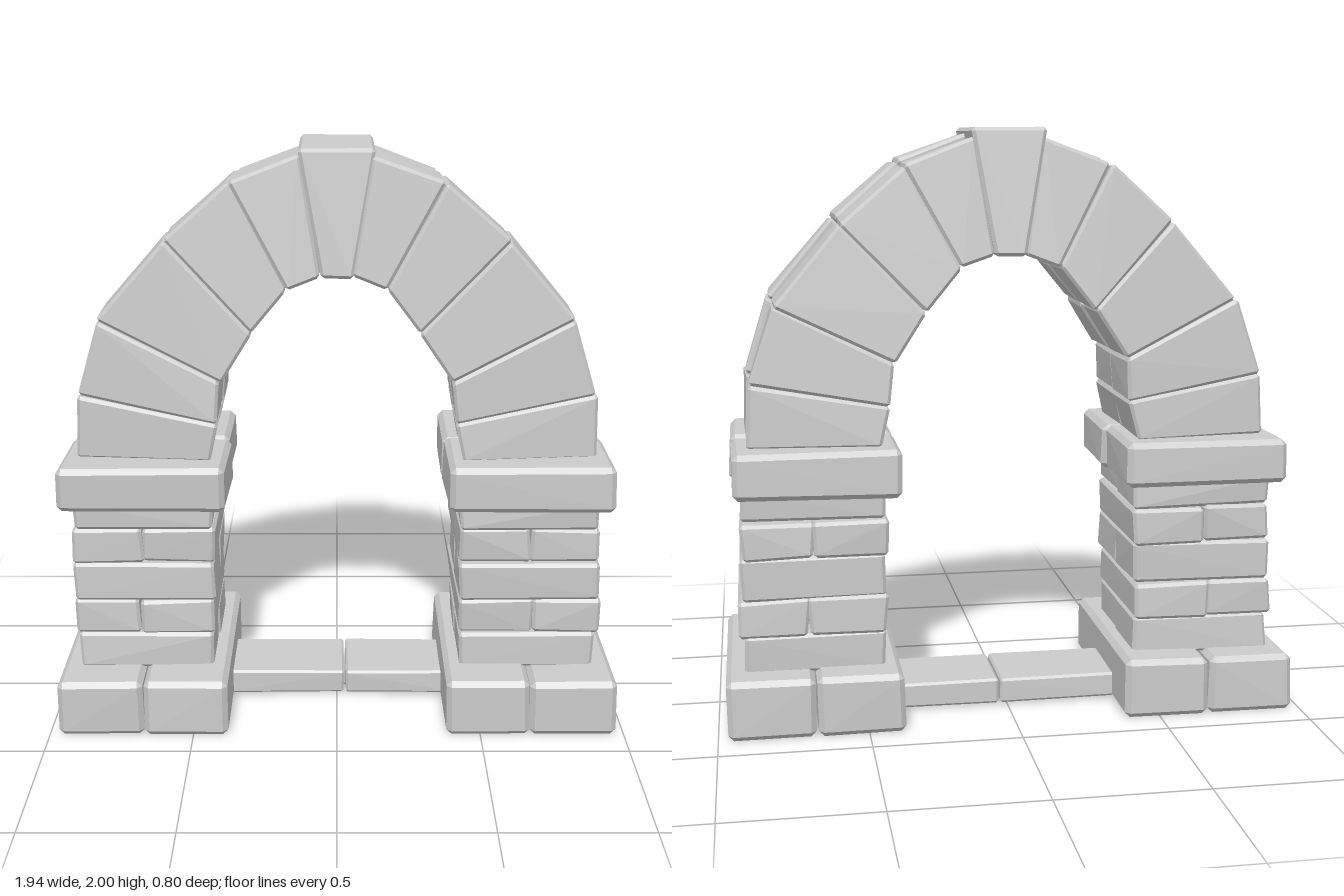
import * as THREE from 'three';
import { ConvexGeometry } from 'three/addons/geometries/ConvexGeometry.js';

const material = new THREE.MeshStandardMaterial({ color: 0xcccccc, flatShading: true });

// Small seeded generator for hand-cut irregularity
let seed = 7;
function wobble(amount) {
  seed = (seed * 16807) % 2147483647;
  return (seed / 2147483647 - 0.5) * 2 * amount;
}

// A chamfered six-sided stone. corner(i, j, k) gives the corner for i, j, k = 0 or 1.
function stone(name, corner, rough = 0.007, chamfer = 0.015) {
  const corners = [];
  for (let n = 0; n < 8; n++) {
    const p = corner(n & 1, (n >> 1) & 1, (n >> 2) & 1);
    p.x += wobble(rough);
    p.y = THREE.MathUtils.clamp(p.y + (p.y > 0 ? wobble(rough * 0.7) : 0), 0, 2);
    p.z += wobble(rough);
    corners.push(p);
  }
  const points = [];
  corners.forEach((p, n) => {
    const inward = [1, 2, 4].map((bit) =>
      corners[n ^ bit].clone().sub(p).normalize().multiplyScalar(chamfer));
    for (let a = 0; a < 3; a++) {
      points.push(p.clone().add(inward[(a + 1) % 3]).add(inward[(a + 2) % 3]));
    }
  });
  const mesh = new THREE.Mesh(new ConvexGeometry(points), material);
  mesh.name = name;
  return mesh;
}

// Rectangular stone from its ranges in x, y and z
function block(name, x, y, z, rough, chamfer) {
  return stone(name, (i, j, k) => new THREE.Vector3(x[i], y[j], z[k]), rough, chamfer);
}

function makePillar(side) {
  const pillar = new THREE.Group();
  pillar.name = side > 0 ? 'leftPillar' : 'rightPillar';
  const range = (a, b) => (side > 0 ? [a, b] : [-b, -a]);

  // Footing of two wide slabs
  pillar.add(block('footing', range(0.38, 0.67), [0, 0.203], [-0.395, 0.395], 0.005, 0.018));
  pillar.add(block('footing', range(0.672, 0.97), [0, 0.2], [-0.395, 0.395], 0.005, 0.018));

  // Courses, alternately split across the depth and across the width
  const courses = [
    { y: [0.19, 0.32], splitZ: 0.0, x: [0.43, 0.905] },
    { y: [0.32, 0.445], splitX: 0.69, x: [0.425, 0.918] },
    { y: [0.445, 0.585], splitZ: -0.02, x: [0.425, 0.91] },
    { y: [0.585, 0.71], splitX: 0.67, x: [0.42, 0.908] },
    { y: [0.71, 0.82], splitZ: -0.02, x: [0.425, 0.905] },
  ];
  for (const { y, x, splitX, splitZ } of courses) {
    if (splitX) {
      pillar.add(block('brick', range(x[0], splitX), y, [-0.29, 0.235], 0.008, 0.011));
      pillar.add(block('brick', range(splitX, x[1]), y, [-0.285, 0.242], 0.008, 0.011));
    } else {
      pillar.add(block('brick', range(...x), y, [splitZ, 0.248], 0.008, 0.011));
      pillar.add(block('brick', range(...x), y, [-0.28, splitZ], 0.008, 0.011));
    }
  }

  // Projecting capital of a front and a back slab
  pillar.add(block('capital', range(0.375, 0.94), [0.8, 0.96], [-0.02, 0.33], 0.007, 0.018));
  pillar.add(block('capital', range(0.38, 0.935), [0.8, 0.958], [-0.37, -0.022], 0.007, 0.018));
  return pillar;
}

// Joints of the arch from the keystone down: outer x, y, then inner x, y
const joints = [
  [0.12, 1.98, 0.05, 1.585],
  [0.36, 1.89, 0.165, 1.54],
  [0.575, 1.7, 0.28, 1.395],
  [0.8, 1.435, 0.39, 1.23],
  [0.88, 1.175, 0.405, 1.085],
  [0.885, 0.95, 0.435, 0.95],
];

function makeArch() {
  const arch = new THREE.Group();
  arch.name = 'arch';
  const splitZ = -0.035;

  // Wedge stones in a front and a back ring, thinner towards the outer edge
  for (const side of [1, -1]) {
    for (let s = 0; s < joints.length - 1; s++) {
      for (const front of [true, false]) {
        const inset = front ? 0 : 0.012;
        arch.add(stone(front ? 'frontVoussoir' : 'backVoussoir', (i, j, k) => {
          const [ox, oy, ix, iy] = joints[s + i];
          const spread = 0.028 * (s + i) / 5;
          const face = front ? (j ? 0.17 : 0.212) + spread : (j ? -0.215 : -0.262) - spread;
          const dip = j && s + i < 5 ? inset : 0;
          return new THREE.Vector3(
            side * ((j ? ox : ix) - dip * 0.8),
            (j ? oy : iy) - dip,
            k ? face : splitZ
          );
        }, 0.006, 0.011));
      }
    }
  }

  // Keystone runs through the full depth
  arch.add(stone('keystone', (i, j, k) => new THREE.Vector3(
    (i ? 1 : -1) * (j ? 0.128 : 0.053),
    j ? 2 : 1.58,
    k ? (j ? 0.172 : 0.212) : (j ? -0.222 : -0.27)
  ), 0.003, 0.012));
  return arch;
}

export function createModel() {
  seed = 7;
  const model = new THREE.Group();
  model.name = 'stoneArchway';
  model.add(makePillar(1), makePillar(-1), makeArch());

  // Threshold of two slabs between the footings
  model.add(block('threshold', [-0.385, 0.025], [0.008, 0.095], [-0.19, 0.09], 0.003, 0.008));
  model.add(block('threshold', [0.032, 0.42], [0.008, 0.095], [-0.19, 0.09], 0.003, 0.008));
  return model;
}
